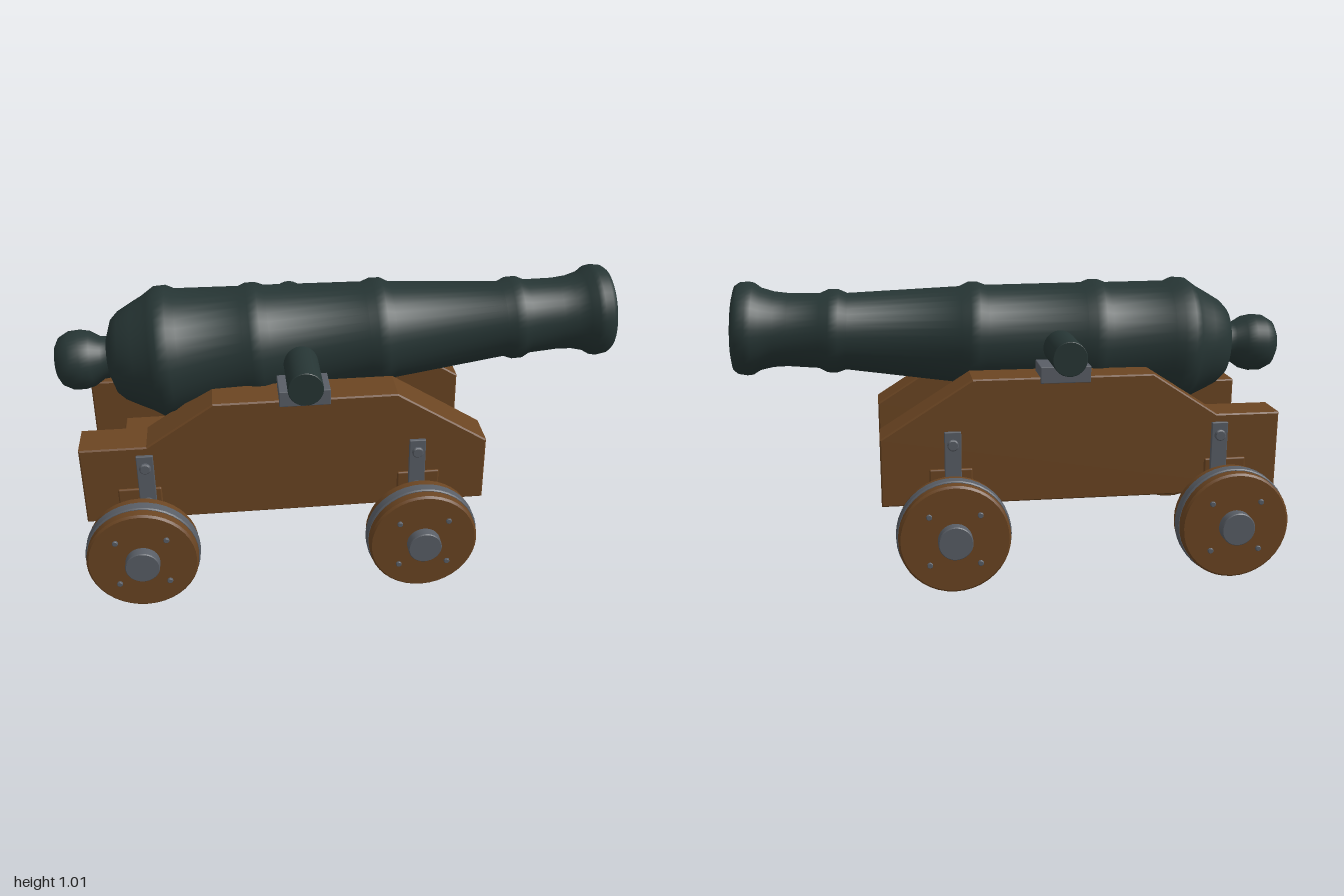
import * as THREE from 'three';
import { toCreasedNormals } from 'three/addons/utils/BufferGeometryUtils.js';
import { RoundedBoxGeometry } from 'three/addons/geometries/RoundedBoxGeometry.js';

const material = (name, color) => {
  const m = new THREE.MeshStandardMaterial({ color });
  m.name = name;
  return m;
};

export function createModel() {
  const gunmetal = material('dark gunmetal', 0x263534);
  const wood = material('brown wood', 0x6b4522);
  const iron = material('grey iron', 0x595e66);
  const model = new THREE.Group();
  model.name = 'cannon';

  const add = (parent, name, geometry, mat, x = 0, y = 0, z = 0) => {
    const mesh = new THREE.Mesh(geometry, mat);
    mesh.name = name;
    mesh.position.set(x, y, z);
    parent.add(mesh);
    return mesh;
  };
  const box = (w, h, d, r = 0.006) => new RoundedBoxGeometry(w, h, d, 2, r);
  // Cylinder along z with a small chamfer on both rims
  const disc = (r, depth, c = 0.005, segments = 32) => {
    const h = depth / 2;
    const profile = [[0, -h], [r - c, -h], [r, c - h], [r, h - c], [r - c, h], [0, h]];
    const g = new THREE.LatheGeometry(profile.map(p => new THREE.Vector2(...p)), segments);
    return toCreasedNormals(g.rotateX(Math.PI / 2), 0.6);
  };

  // Barrel: radius and distance along the bore, measured from the trunnions
  const barrel = new THREE.Group();
  barrel.name = 'barrel';
  barrel.position.set(-0.15, 0.79, 0);
  barrel.rotation.z = 0.053;
  model.add(barrel);
  const profile = [
    [0, -0.852], [0.058, -0.85], [0.085, -0.835], [0.104, -0.8], [0.106, -0.76], [0.098, -0.725],
    [0.076, -0.69], [0.074, -0.668], [0.09, -0.662], [0.132, -0.647], [0.158, -0.62], [0.185, -0.57],
    [0.205, -0.53], [0.218, -0.51], [0.234, -0.485], [0.235, -0.445], [0.22, -0.415],
    [0.207, -0.19], [0.216, -0.165], [0.216, -0.13], [0.203, -0.1],
    [0.182, 0.25], [0.192, 0.28], [0.191, 0.315], [0.174, 0.345],
    [0.137, 0.745], [0.149, 0.775], [0.149, 0.81], [0.134, 0.84],
    [0.13, 0.95], [0.134, 1.0], [0.146, 1.045], [0.163, 1.07], [0.166, 1.09], [0.162, 1.12],
    [0.15, 1.136], [0.125, 1.142], [0.1, 1.136], [0.086, 1.115], [0.085, 1.08],
    [0.085, -0.3], [0, -0.3],
  ];
  const barrelGeometry = new THREE.LatheGeometry(profile.map(p => new THREE.Vector2(...p)), 40);
  add(barrel, 'gunBarrel', toCreasedNormals(barrelGeometry.rotateZ(-Math.PI / 2), 0.9), gunmetal);
  add(barrel, 'trunnion', disc(0.06, 0.78, 0.002), gunmetal);

  // Side profile of the carriage cheeks
  const cheekShape = new THREE.Shape([
    [-0.914, 0.274], [0.486, 0.274], [0.486, 0.508], [0.17, 0.708],
    [-0.458, 0.708], [-0.69, 0.556], [-0.914, 0.556],
  ].map(p => new THREE.Vector2(...p)));
  const cheekGeometry = new THREE.ExtrudeGeometry(cheekShape, {
    depth: 0.132, bevelSize: 0.005, bevelThickness: 0.005, bevelSegments: 1,
  });
  cheekGeometry.translate(0, 0, -0.066);

  for (const side of [1, -1]) {
    add(model, 'carriageCheek', cheekGeometry, wood, 0, 0, side * 0.246);
    add(model, 'trunnionBlock', box(0.175, 0.058, 0.125, 0.003), iron, -0.148, 0.722, side * 0.2625);
  }

  // Axles with their bolsters, straps and wheels
  for (const [axleX, strapX] of [[-0.727, -0.7], [0.25, 0.243]]) {
    add(model, 'axleBolster', box(0.15, 0.15, 0.65), wood, axleX, 0.325, 0);
    add(model, 'axle', disc(0.04, 0.9, 0.002, 24), iron, axleX, 0.198, 0);

    for (const side of [1, -1]) {
      add(model, 'strap', box(0.058, 0.235, 0.014, 0.003), iron, strapX, 0.418, side * 0.328);
      for (const y of [0.49, 0.35]) {
        add(model, 'strapBolt', disc(0.02, 0.02, 0.004, 16), iron, strapX, y, side * 0.336);
      }

      const wheel = new THREE.Group();
      wheel.name = 'wheel';
      wheel.position.set(axleX, 0.198, side * 0.415);
      model.add(wheel);
      add(wheel, 'wheelDisc', disc(0.191, 0.112, 0.007, 40), wood);
      add(wheel, 'wheelTyre', disc(0.197, 0.04, 0.004, 40), iron);
      add(wheel, 'hubCap', disc(0.059, 0.05, 0.003), iron, 0, 0, side * 0.067);
      for (let i = 0; i < 4; i++) {
        const a = Math.PI / 4 + i * Math.PI / 2;
        add(wheel, 'wheelBolt', disc(0.01, 0.02, 0.002, 12), iron,
          Math.cos(a) * 0.122, Math.sin(a) * 0.122, side * 0.054);
      }
    }
  }
  return model;
}
